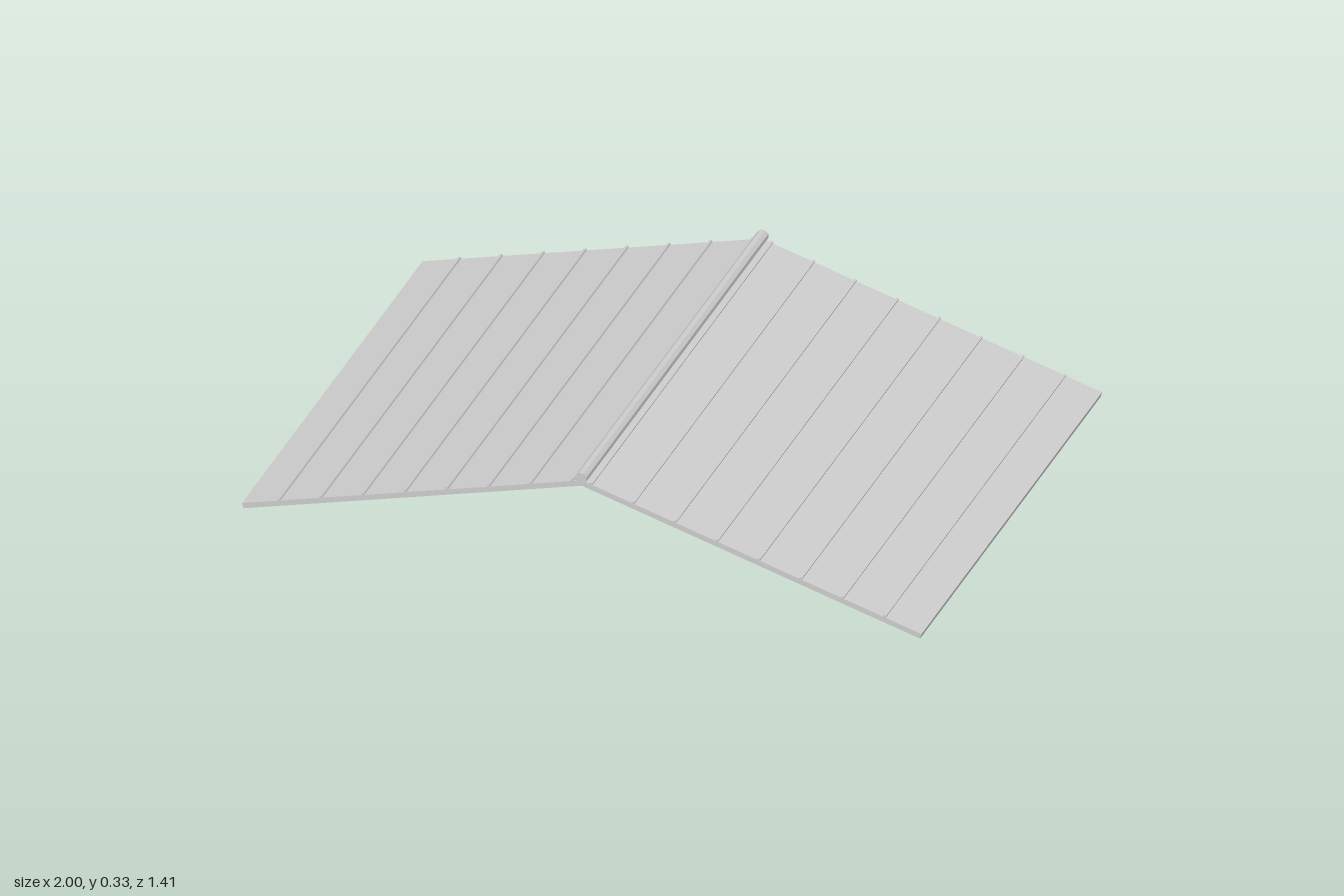
import * as THREE from 'three';

const APEX = 0.307;   // height of the slab's top at the ridge
const SLOPE = 0.2815; // drop per unit of x
const ANGLE = Math.atan(SLOPE);

export function createModel() {
  const roof = new THREE.Group();
  roof.name = 'gableRoof';
  const material = new THREE.MeshStandardMaterial({ color: 0xcccccc, flatShading: true });

  const add = (name, geometry, x = 0, y = 0, z = 0) => {
    const mesh = new THREE.Mesh(geometry, material);
    mesh.name = name;
    mesh.position.set(x, y, z);
    roof.add(mesh);
    return mesh;
  };

  // Chevron cross-section spanning both slopes, extruded along z
  const chevron = (apexTop, thick, halfWidth, depth) => {
    const endTop = apexTop - SLOPE * halfWidth;
    const inset = thick * Math.sin(ANGLE) * Math.cos(ANGLE); // square-cut ends
    const inX = halfWidth - inset;
    const inY = apexTop - thick - SLOPE * inX;
    const shape = new THREE.Shape([
      [0, apexTop], [-halfWidth, endTop], [-inX, inY],
      [0, apexTop - thick], [inX, inY], [halfWidth, endTop],
    ].map(([x, y]) => new THREE.Vector2(x, y)));
    return new THREE.ExtrudeGeometry(shape, { depth, bevelEnabled: false })
      .translate(0, 0, -depth / 2);
  };

  // Roof panels
  add('roofPanels', chevron(APEX, 0.017, 1, 1.4));

  // Thin rafters under both gable ends
  for (const side of [-1, 1]) {
    add('gableRafter', chevron(APEX - 0.002, 0.033, 0.968, 0.01), 0, 0, side * 0.637);
  }

  // Standing seams on both slopes
  const seam = new THREE.BoxGeometry(0.008, 0.012, 1.4);
  for (const side of [-1, 1]) {
    for (let i = 0; i < 8; i++) {
      const x = 0.027 + i * 0.1233;
      add('standingSeam', seam, side * x, APEX - SLOPE * x, 0).rotation.z = -side * ANGLE;
    }
  }

  // Ridge cap
  const cap = new THREE.CylinderGeometry(0.0175, 0.0175, 1.41, 8)
    .rotateY(Math.PI / 8).rotateX(Math.PI / 2);
  add('ridgeCap', cap, 0, 0.3165, 0);

  return roof;
}
